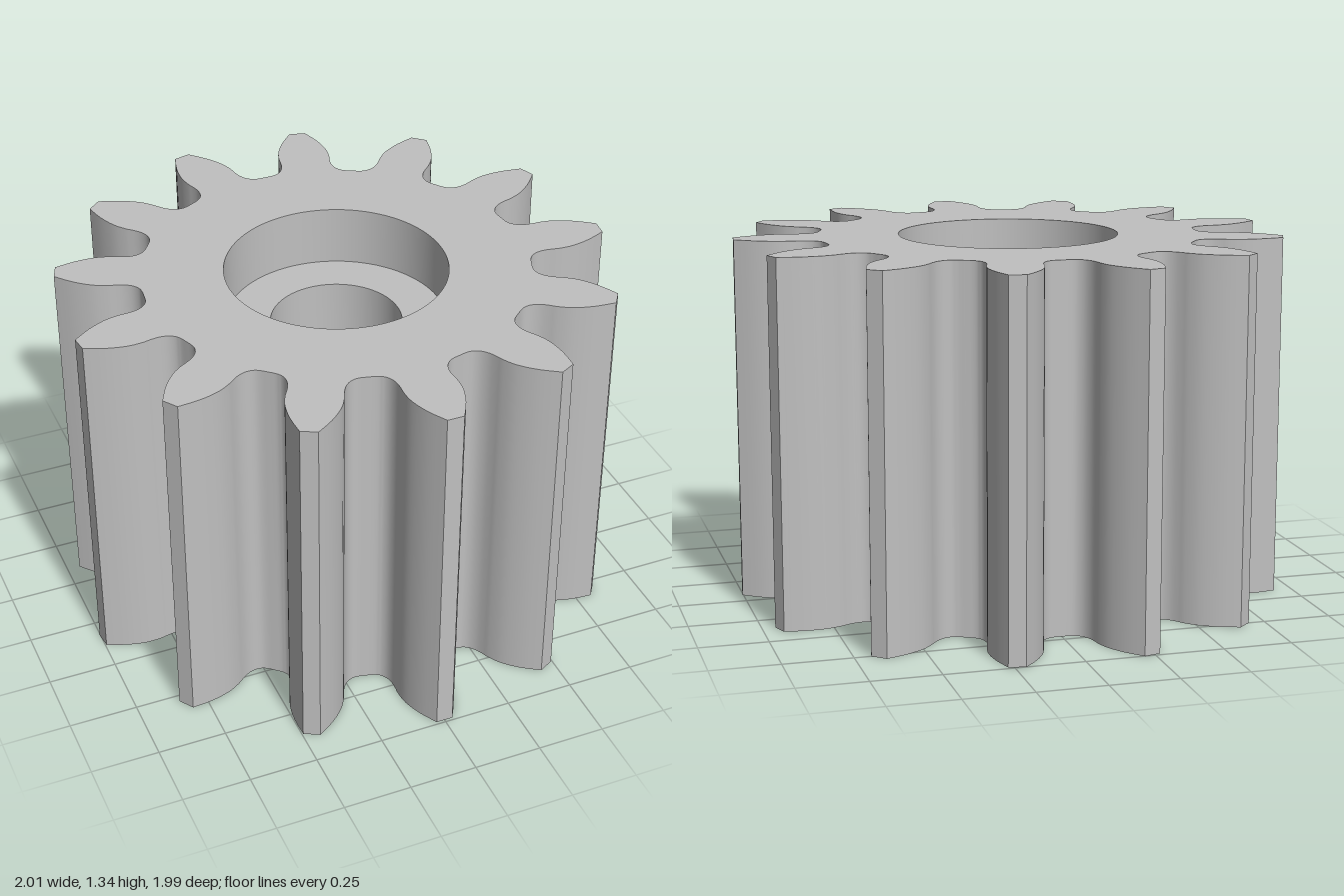
import * as THREE from 'three';
import { toCreasedNormals } from 'three/addons/utils/BufferGeometryUtils.js';

const TEETH = 13, HEIGHT = 1.335, CENTER_Z = -0.017;
const BORE = 0.404, HOLE = 0.24;
const RAD = Math.PI / 180;

// Half a tooth from gap centre to tip corner: radius, degrees off the tooth axis
const FLANK = [
  [0.702, 13.846], [0.703, 11.6], [0.71, 9.8], [0.729, 8.2], [0.758, 7.25],
  [0.79, 6.95], [0.82, 6.85], [0.873, 6.1], [0.94, 4.2], [1.007, 1.75],
];

const polar = (r, a) => new THREE.Vector2(r * Math.cos(a), r * Math.sin(a));

function gearShape() {
  const half = new THREE.SplineCurve(FLANK.map(([r, d]) => polar(r, d * RAD))).getPoints(27);
  const points = [];
  for (let i = 0; i < TEETH; i++) {
    const axis = -Math.PI / 2 + (i * 2 * Math.PI) / TEETH;
    const origin = new THREE.Vector2();
    // rising flank (mirrored), then falling flank up to the next gap
    half.forEach(p => points.push(new THREE.Vector2(p.x, -p.y).rotateAround(origin, axis)));
    half.slice(1).reverse().forEach(p => points.push(p.clone().rotateAround(origin, axis)));
  }
  return new THREE.Shape(points);
}

// Extrude a shape with a round hole upwards from y0
function plate(name, shape, holeRadius, y0, height, material) {
  shape.holes.push(new THREE.Path().absarc(0, 0, holeRadius, 0, Math.PI * 2, true));
  const flat = new THREE.ExtrudeGeometry(shape, { depth: height, bevelEnabled: false, curveSegments: 72 });
  flat.rotateX(-Math.PI / 2);
  const mesh = new THREE.Mesh(toCreasedNormals(flat, 30 * RAD), material);
  mesh.name = name;
  mesh.position.set(0, y0, CENTER_Z);
  return mesh;
}

export function createModel() {
  const group = new THREE.Group();
  group.name = 'pinionGear';
  const steel = new THREE.MeshStandardMaterial({ color: 0xc0c0c0 });
  steel.name = 'steelGrey';

  // Toothed body with a wide bore
  group.add(plate('gearBody', gearShape(), BORE, 0, HEIGHT, steel));

  // Inner web with the smaller shaft hole, set below the top face
  const disc = new THREE.Shape().absarc(0, 0, BORE + 0.003, 0, Math.PI * 2, false);
  group.add(plate('boreWeb', disc, HOLE, 0.86, 0.25, steel));
  return group;
}
